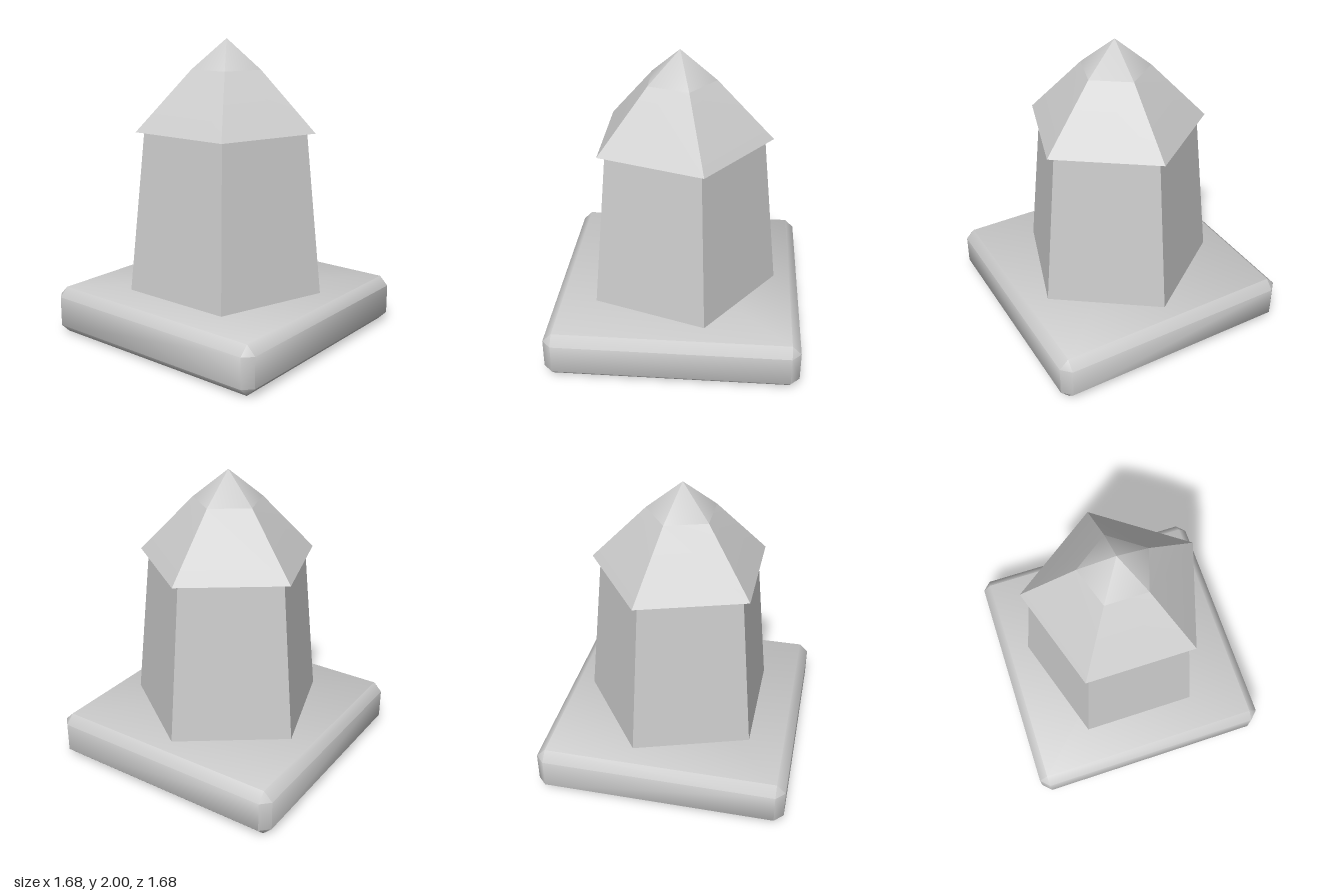
import * as THREE from 'three';
import { toCreasedNormals } from 'three/addons/utils/BufferGeometryUtils.js';
import { ConvexGeometry } from 'three/addons/geometries/ConvexGeometry.js';

// Box with cut edges and corners, softly shaded
function chamferedBox(hx, hy, hz, c) {
  const pts = [];
  for (const sx of [-1, 1]) for (const sy of [-1, 1]) for (const sz of [-1, 1]) {
    pts.push(new THREE.Vector3(sx * hx, sy * (hy - c), sz * (hz - c)));
    pts.push(new THREE.Vector3(sx * (hx - c), sy * hy, sz * (hz - c)));
    pts.push(new THREE.Vector3(sx * (hx - c), sy * (hy - c), sz * hz));
  }
  return new ConvexGeometry(pts);
}

export function createModel() {
  const model = new THREE.Group();
  const stone = new THREE.MeshStandardMaterial({ color: 0xcccccc });
  stone.name = 'pale grey stone';
  const crease = THREE.MathUtils.degToRad(52.5);

  const add = (name, geometry) => {
    const mesh = new THREE.Mesh(toCreasedNormals(geometry, crease), stone);
    mesh.name = name;
    model.add(mesh);
    return mesh;
  };

  // Five-sided solid from a profile of [radius, height], one corner towards +x
  const pentagon = (profile) => new THREE.LatheGeometry(
    profile.map(([r, y]) => new THREE.Vector2(r, y)), 5, Math.PI / 2);

  // Square plinth
  add('base', chamferedBox(0.84, 0.16, 0.84, 0.06)).position.y = 0.16;

  // Tapered tower
  add('tower', pentagon([[0, 0.31], [0.672, 0.32], [0.56, 1.4], [0, 1.4]]));

  // Overhanging roof with a flatter tip
  add('roof', pentagon([[0, 1.4], [0.617, 1.4], [0.24, 1.8], [0, 2]]));

  return model;
}
